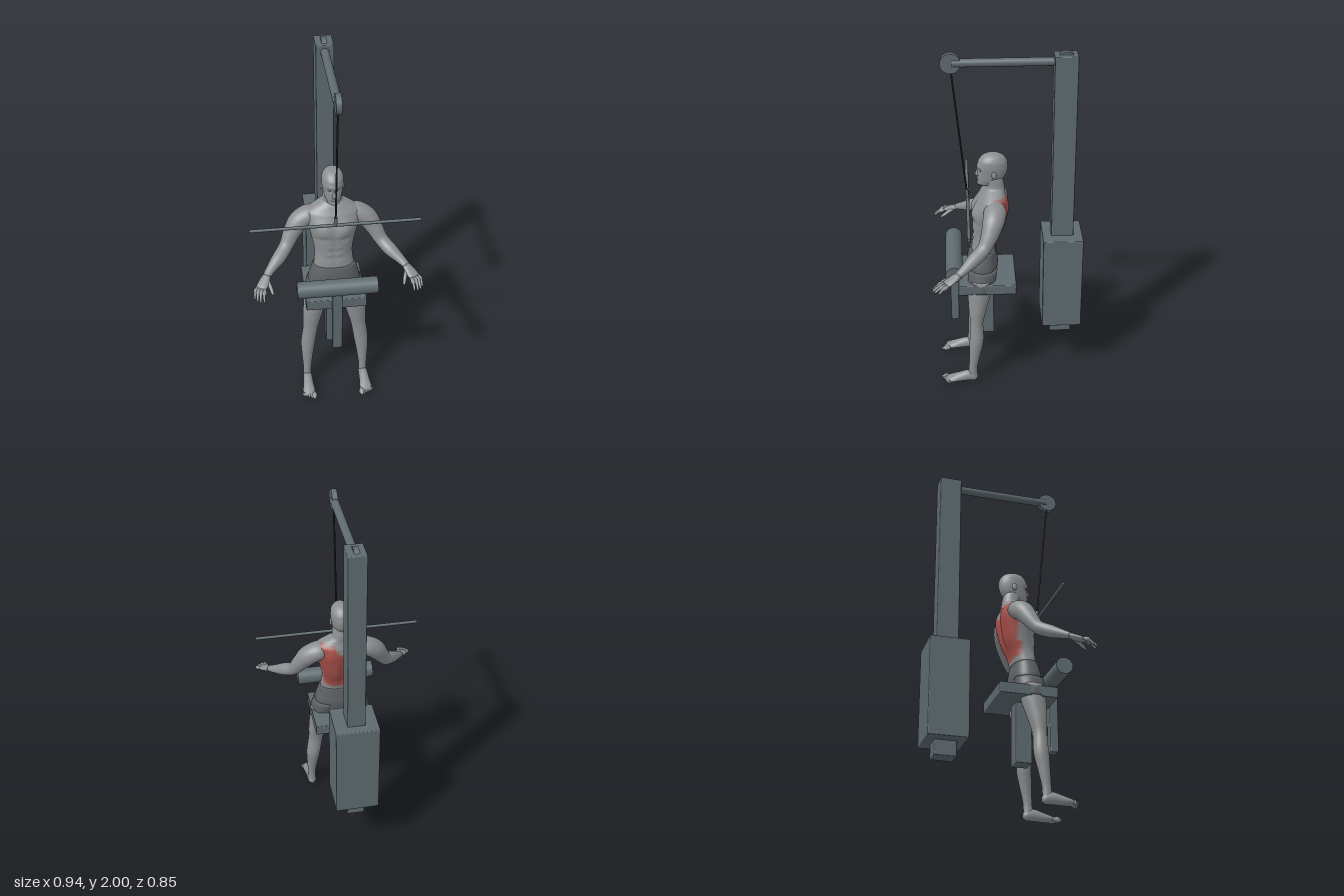
import * as THREE from 'three';
import { RoundedBoxGeometry } from 'three/addons/geometries/RoundedBoxGeometry.js';

const paint = (name, color) => Object.assign(new THREE.MeshStandardMaterial({ color }), { name });

// Smooth closed tube through sections [x, y, z, halfWidth, halfDepth].
// Level lofts keep horizontal rings and run upwards; others follow their path.
function loft(rows, { level = false, steps = 4, seg = 20, power = 2, warp, zone } = {}) {
  const centres = new THREE.CatmullRomCurve3(rows.map(r => new THREE.Vector3(r[0], r[1], r[2])));
  const sizes = new THREE.CatmullRomCurve3(rows.map(r => new THREE.Vector3(r[3], r[4], 0)));
  const n = (rows.length - 1) * steps, pts = [];
  const up = new THREE.Vector3(0, 1, 0), S = new THREE.Vector3(1, 0, 0), U = new THREE.Vector3(0, 0, -1);
  const round = v => Math.sign(v) * Math.abs(v) ** (2 / power);
  for (let i = 0; i <= n; i++) {
    const c = centres.getPoint(i / n), r = sizes.getPoint(i / n);
    if (!level) {
      const T = centres.getTangent(i / n);
      S.crossVectors(up, T).normalize();
      U.crossVectors(T, S);
    }
    for (let j = 0; j < seg; j++) {
      const a = j / seg * Math.PI * 2;
      const p = c.clone().addScaledVector(S, r.x * round(Math.cos(a))).addScaledVector(U, r.y * round(Math.sin(a)));
      if (warp) warp(p, c);
      pts.push(p);
    }
  }
  pts.push(centres.getPoint(0), centres.getPoint(1));
  const start = pts.length - 2, end = pts.length - 1, buckets = [[], [], []];
  const tri = (...t) => {
    const mid = new THREE.Vector3();
    t.forEach(k => mid.addScaledVector(pts[k], 1 / 3));
    buckets[zone ? zone(mid) : 0].push(...t);
  };
  for (let j = 0; j < seg; j++) {
    const k = (j + 1) % seg;
    for (let i = 0; i < n; i++) {
      const a = i * seg, b = a + seg;
      tri(a + j, a + k, b + k);
      tri(a + j, b + k, b + j);
    }
    tri(start, k, j);
    tri(end, n * seg + j, n * seg + k);
  }
  const g = new THREE.BufferGeometry().setFromPoints(pts);
  g.setIndex(buckets.flat());
  let from = 0;
  if (zone) buckets.forEach((b, i) => { g.addGroup(from, b.length, i); from += b.length; });
  g.computeVertexNormals();
  return g;
}

export function createModel() {
  const steel = paint('machine steel', 0x5f6b70), skin = paint('skin', 0x8c8f91);
  const cloth = paint('shorts cloth', 0x5c6063), cord = paint('cable black', 0x222426);
  const red = paint('muscle red', 0xa9504a), pale = paint('muscle edge', 0x9b726f);
  const model = new THREE.Group();
  model.name = 'pulldownMachineWithFigure';
  const machine = new THREE.Group(), figure = new THREE.Group();
  machine.name = 'machine';
  figure.name = 'figure';
  model.add(machine, figure);

  const add = (parent, name, geo, mat, x = 0, y = 0, z = 0) => {
    const m = new THREE.Mesh(geo, mat);
    m.name = name;
    m.position.set(x, y, z);
    parent.add(m);
    return m;
  };
  const block = (name, x, y0, y1, z0, z1) => add(machine, name,
    new RoundedBoxGeometry(x * 2, y1 - y0, z1 - z0, 2, 0.005), steel, 0, (y0 + y1) / 2, (z0 + z1) / 2);
  const rod = (name, a, b, r, mat = steel, seg = 32) => {
    const A = new THREE.Vector3(...a), d = new THREE.Vector3(...b).sub(A), h = d.length();
    const m = add(machine, name, new THREE.CylinderGeometry(r, r, h, seg), mat);
    m.position.copy(A).addScaledVector(d, 0.5);
    m.quaternion.setFromUnitVectors(new THREE.Vector3(0, 1, 0), d.normalize());
  };

  // Machine frame, seat and pad
  block('column', 0.05, 0.26, 1.985, -0.373, -0.247);
  block('weightStack', 0.123, 0.345, 0.915, -0.425, -0.198);
  block('seat', 0.172, 0.605, 0.667, -0.045, 0.285);
  block('seatPost', 0.048, 0.26, 0.61, 0.08, 0.172);
  block('padPost', 0.028, 0.345, 0.76, 0.284, 0.332);
  rod('thighPad', [-0.225, 0.777, 0.307], [0.225, 0.777, 0.307], 0.048);

  // Overhead arm, pulleys, cable and bar
  rod('overheadArm', [0, 1.945, -0.3], [0, 1.945, 0.293], 0.023);
  for (const [name, z] of [['frontPulley', 0.3], ['rearPulley', -0.31]])
    rod(name, [-0.015, 1.945, z], [0.015, 1.945, z], 0.055);
  rod('cable', [0, 1.9, 0.297], [0, 1.19, 0.226], 0.005, cord, 10);
  rod('barConnector', [0, 1.2, 0.227], [0, 1.145, 0.222], 0.009, steel, 12);
  rod('pullBar', [-0.47, 1.145, 0.222], [0.47, 1.145, 0.222], 0.009, steel, 16);

  // Torso with chest, stomach and spine relief; the back muscles are coloured
  const bump = (v, mid, w) => Math.exp(-(((v - mid) / w) ** 2));
  const torsoWarp = (p, c) => {
    const x = Math.abs(p.x);
    if (p.z > c.z) {
      p.z += 0.013 * bump(x, 0.062, 0.045) * bump(p.y, 1.085, 0.04);
      p.z -= 0.006 * bump(x, 0, 0.012) * bump(p.y, 1.0, 0.13);
      p.z -= 0.008 * bump(p.y, 1.02, 0.016) * bump(x, 0.06, 0.05);
      p.z += 0.003 * bump(x, 0.025, 0.02) * Math.cos(p.y * 130) * bump(p.y, 0.93, 0.06);
    } else {
      p.z += 0.014 * bump(x, 0, 0.018) * bump(p.y, 1.02, 0.15);
      p.z -= 0.01 * bump(x, 0.065, 0.035) * bump(p.y, 1.12, 0.05);
    }
  };
  const backZone = p => {
    const x = Math.abs(p.x), low = 0.855 + 0.3 * Math.max(0, x - 0.05);
    const notch = p.y > 1.12 ? 0.015 + (p.y - 1.12) * 0.5 : -1;
    const inset = Math.min(p.y - low, 1.185 - p.y, x - notch, 0.08 - p.z + (p.y < 0.95 ? 0.025 : 0));
    return inset < 0 ? 0 : inset < 0.013 ? 2 : 1;
  };
  add(figure, 'torso', loft([
    [0, 0.80, 0.142, 0.118, 0.066], [0, 0.84, 0.138, 0.112, 0.068], [0, 0.90, 0.125, 0.106, 0.073],
    [0, 0.97, 0.108, 0.115, 0.09], [0, 1.05, 0.1, 0.134, 0.1], [0, 1.11, 0.09, 0.15, 0.092],
    [0, 1.16, 0.08, 0.148, 0.078], [0, 1.195, 0.074, 0.1, 0.06], [0, 1.222, 0.067, 0.056, 0.052],
    [0, 1.28, 0.078, 0.05, 0.052],
  ], { level: true, steps: 7, seg: 72, power: 2.25, warp: torsoWarp, zone: backZone }), [skin, red, pale]);

  // Head with eye sockets and brow
  const faceWarp = (p, c) => {
    if (p.z < c.z + 0.03) return;
    const x = Math.abs(p.x);
    p.z -= 0.011 * bump(x, 0.023, 0.012) * bump(p.y, 1.325, 0.011);
    p.z += 0.004 * bump(p.y, 1.347, 0.01) * bump(x, 0.02, 0.025);
    p.z -= 0.005 * bump(p.y, 1.255, 0.007) * bump(x, 0, 0.02);
  };
  add(figure, 'head', loft([
    [0, 1.225, 0.115, 0.018, 0.035], [0, 1.24, 0.108, 0.037, 0.06], [0, 1.27, 0.095, 0.049, 0.072],
    [0, 1.30, 0.085, 0.055, 0.08], [0, 1.34, 0.082, 0.06, 0.085], [0, 1.375, 0.081, 0.059, 0.08],
    [0, 1.403, 0.08, 0.046, 0.06], [0, 1.417, 0.08, 0.025, 0.033], [0, 1.421, 0.08, 0.004, 0.005],
  ], { level: true, steps: 6, seg: 48, warp: faceWarp }), skin);
  add(figure, 'nose', loft([[0, 1.285, 0.163, 0.011, 0.008], [0, 1.295, 0.166, 0.012, 0.014],
    [0, 1.315, 0.162, 0.007, 0.011], [0, 1.34, 0.16, 0.005, 0.007]], { level: true, seg: 12 }), skin);
  const ball = (name, x, y, z, a, b, c) =>
    add(figure, name, new THREE.SphereGeometry(1, 16, 12), skin, x, y, z).scale.set(a, b, c);
  ball('lips', 0, 1.268, 0.16, 0.018, 0.007, 0.011);

  // Shorts body
  add(figure, 'shorts', loft([
    [0, 0.64, 0.145, 0.1, 0.065], [0, 0.68, 0.145, 0.148, 0.083], [0, 0.74, 0.143, 0.147, 0.088],
    [0, 0.79, 0.143, 0.134, 0.082], [0, 0.836, 0.14, 0.119, 0.072],
  ], { level: true, seg: 40, power: 2.3 }), cloth);

  for (const s of [-1, 1]) {
    const side = s > 0 ? 'left' : 'right';
    const limb = (name, rows, mat = skin, opts = {}) =>
      add(figure, side + name, loft(rows.map(([x, ...r]) => [x * s, ...r]), opts), mat);

    ball(side + 'Ear', s * 0.06, 1.31, 0.075, 0.008, 0.022, 0.014);
    ball(side + 'Eye', s * 0.023, 1.325, 0.145, 0.011, 0.008, 0.011);

    // Leg and trouser leg
    limb('Leg', [
      [0.166, 0.03, 0.212, 0.023, 0.027], [0.166, 0.09, 0.21, 0.023, 0.025], [0.163, 0.19, 0.198, 0.032, 0.033],
      [0.156, 0.29, 0.186, 0.042, 0.041], [0.142, 0.39, 0.185, 0.043, 0.038], [0.129, 0.48, 0.178, 0.054, 0.051],
      [0.112, 0.58, 0.165, 0.066, 0.067], [0.1, 0.68, 0.15, 0.072, 0.075],
    ], skin, { level: true, seg: 28, steps: 5 });
    limb('ShortsLeg', [[0.107, 0.61, 0.16, 0.071, 0.073], [0.099, 0.66, 0.151, 0.074, 0.08],
      [0.085, 0.73, 0.145, 0.07, 0.085]], cloth, { level: true, seg: 28 });

    // Foot and toes
    limb('Foot', [
      [0.166, 0.028, 0.184, 0.012, 0.014], [0.166, 0.03, 0.2, 0.024, 0.027], [0.167, 0.038, 0.235, 0.027, 0.034],
      [0.168, 0.031, 0.285, 0.03, 0.028], [0.169, 0.022, 0.335, 0.036, 0.019], [0.17, 0.016, 0.37, 0.03, 0.011],
    ]);
    for (let i = 0; i < 5; i++) {
      const x = 0.141 + i * 0.0145, r = i ? 0.0075 : 0.01, tip = 0.397 - i * 0.007;
      limb('Toe' + (i + 1), [[x, 0.018, 0.345, r, r], [x, 0.015, tip - 0.012, r, r],
        [x, 0.012, tip, r * 0.5, r * 0.5]], skin, { seg: 10 });
    }

    // Arm from shoulder to wrist
    limb('Arm', [
      [0.085, 1.135, 0.07, 0.045, 0.045], [0.14, 1.122, 0.074, 0.063, 0.055], [0.19, 1.09, 0.085, 0.06, 0.056],
      [0.232, 1.03, 0.108, 0.049, 0.047], [0.268, 0.967, 0.142, 0.039, 0.037], [0.312, 0.93, 0.195, 0.038, 0.036],
      [0.358, 0.9, 0.245, 0.028, 0.025], [0.39, 0.879, 0.285, 0.022, 0.017],
    ], skin, { seg: 28, steps: 5 });

    // Hand, fingers and thumb
    limb('Palm', [[0.382, 0.884, 0.275, 0.02, 0.016], [0.4, 0.868, 0.305, 0.029, 0.015],
      [0.418, 0.852, 0.338, 0.033, 0.013], [0.428, 0.845, 0.355, 0.028, 0.009]]);
    [-1.5, -0.5, 0.5, 1.5].forEach((k, i) => {
      const x = 0.424 + k * 0.014, z = 0.35 - k * 0.008, l = [0.9, 1.05, 1, 0.8][i];
      limb('Finger' + (i + 1), [[x, 0.849, z, 0.008, 0.008],
        [x + 0.012 * l + k * 0.002, 0.835, z + 0.035 * l, 0.008, 0.008],
        [x + 0.015 * l + k * 0.003, 0.812, z + 0.062 * l, 0.006, 0.006],
        [x + 0.015 * l + k * 0.003, 0.808, z + 0.066 * l, 0.003, 0.003]], skin, { seg: 10 });
    });
    limb('Thumb', [[0.39, 0.868, 0.3, 0.013, 0.012], [0.374, 0.85, 0.338, 0.011, 0.01],
      [0.364, 0.83, 0.37, 0.009, 0.008], [0.361, 0.822, 0.384, 0.004, 0.004]], skin, { seg: 12 });
  }
  return model;
}
